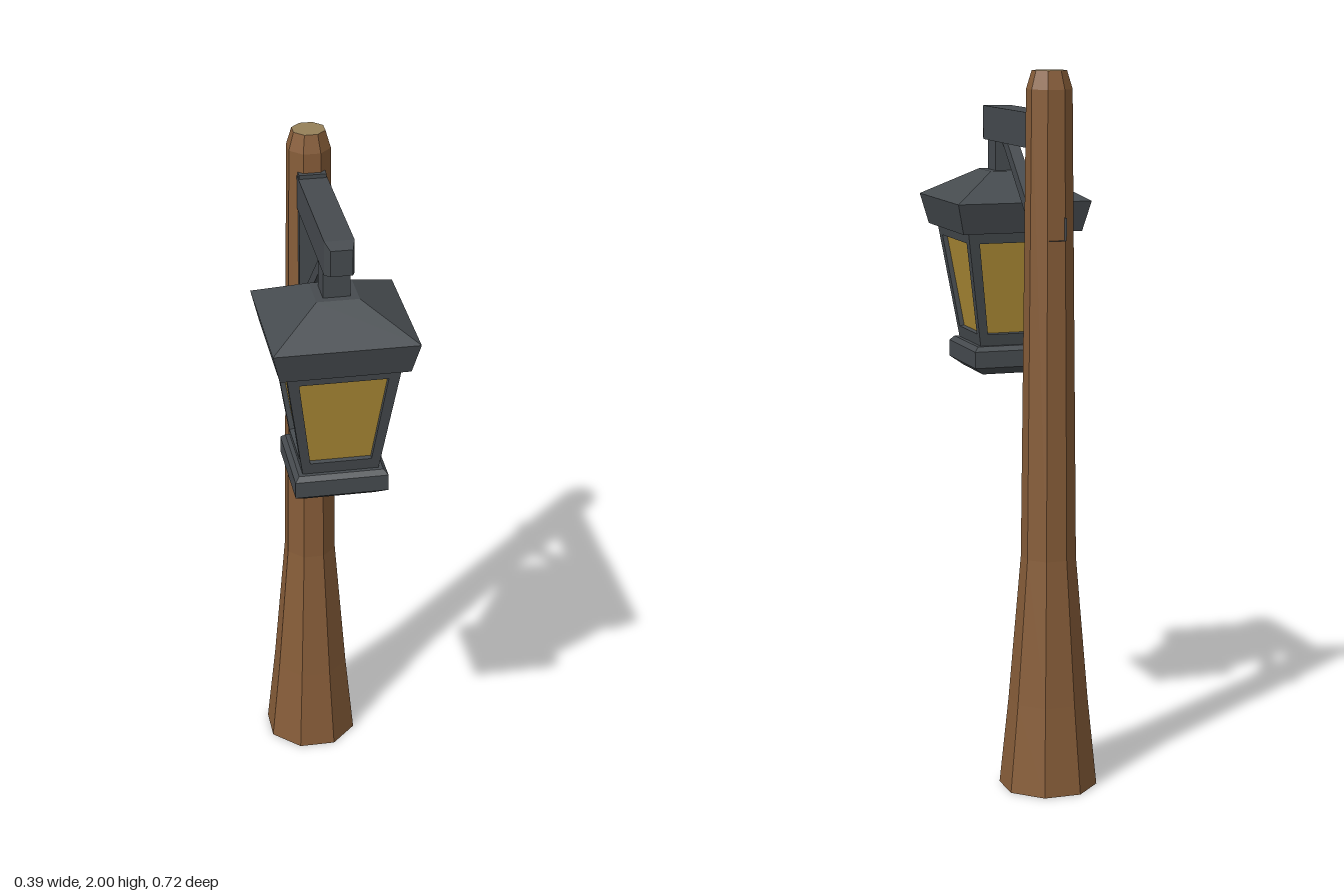
import * as THREE from 'three';

const POST_Z = -0.234, LAMP_Z = 0.163;

export function createModel() {
  const mat = (name, color) => {
    const m = new THREE.MeshStandardMaterial({ color, flatShading: true });
    m.name = name;
    return m;
  };
  const wood = mat('brown wood', 0x875d39);
  const cutWood = mat('cut wood', 0x968059);
  const metal = mat('dark iron', 0x464b4f);
  const glass = mat('amber glass', 0xaf8d36);

  const model = new THREE.Group();
  model.name = 'lampPost';

  const add = (name, geometry, material, parent = model, x = 0, y = 0, z = 0) => {
    const mesh = new THREE.Mesh(geometry, material);
    mesh.name = name;
    mesh.position.set(x, y, z);
    parent.add(mesh);
    return mesh;
  };
  // Regular prism with flats on the axes; profile is [half width, y], bottom to top
  const prism = (profile, sides) => new THREE.LatheGeometry(
    profile.map(([h, y]) => new THREE.Vector2(h / Math.cos(Math.PI / sides), y)),
    sides, Math.PI / sides);
  // Box given by its y and z limits
  const bar = (name, width, y0, y1, z0, z1) => add(name,
    new THREE.BoxGeometry(width, y1 - y0, z1 - z0), metal, model, 0, (y0 + y1) / 2, (z0 + z1) / 2);

  // Wooden post with flared foot and chamfered, paler top
  add('post', prism([[0, 0], [0.127, 0], [0.103, 0.25], [0.071, 0.66],
    [0.058, 1.95], [0.044, 2]], 8), wood, model, 0, 0, POST_Z);
  const top = add('postTop', new THREE.CircleGeometry(0.044 / Math.cos(Math.PI / 8), 8, Math.PI / 8),
    cutWood, model, 0, 2, POST_Z);
  top.rotation.x = -Math.PI / 2;

  // Bracket: arm with tapered tip
  const armGeo = new THREE.BoxGeometry(0.08, 0.096, 0.46, 1, 1, 2);
  const p = armGeo.attributes.position;
  for (let i = 0; i < p.count; i++) {
    if (Math.abs(p.getZ(i)) < 0.01) p.setZ(i, 0.194);
    else if (p.getZ(i) > 0) p.setXY(i, p.getX(i) * 0.74, p.getY(i) * 0.76);
  }
  add('arm', armGeo, metal, model, 0, 1.836, 0.04);
  bar('wallPlate', 0.076, 1.52, 1.895, -0.192, -0.163);
  bar('hanger', 0.074, 1.69, 1.80, 0.127, 0.2);
  bar('backBolt', 0.046, 1.547, 1.609, -0.28, -0.314);

  // Diagonal brace under the arm
  const a = new THREE.Vector3(0, 1.81, 0.13), b = new THREE.Vector3(0, 1.54, -0.17);
  const brace = add('brace', new THREE.BoxGeometry(0.034, 0.032, a.distanceTo(b)), metal);
  brace.position.copy(a).add(b).multiplyScalar(0.5);
  brace.lookAt(a);

  // Lantern
  const lantern = new THREE.Group();
  lantern.name = 'lantern';
  lantern.position.z = LAMP_Z;
  model.add(lantern);
  add('roof', prism([[0, 1.54], [0.175, 1.54], [0.196, 1.626], [0.058, 1.705], [0, 1.705]], 4), metal, lantern);
  add('base', prism([[0, 1.13], [0.096, 1.13], [0.128, 1.153], [0.128, 1.2],
    [0.116, 1.213], [0, 1.213]], 4), metal, lantern);
  add('glassPanes', prism([[0.09, 1.21], [0.142, 1.55]], 4), glass, lantern);

  // Four tapered window frames leaning outward
  const H = 0.335, lower = 0.104, upper = 0.155;
  const lean = Math.atan2(upper - lower, H), slant = Math.hypot(H, upper - lower);
  const at = (y) => (y - 1.21) / H * slant;
  const trapezoid = (Type, w0, y0, w1, y1) => new Type([
    new THREE.Vector2(-w0, y0), new THREE.Vector2(w0, y0),
    new THREE.Vector2(w1, y1), new THREE.Vector2(-w1, y1)]);
  const frameShape = trapezoid(THREE.Shape, lower, 0, upper, slant);
  frameShape.holes.push(trapezoid(THREE.Path, 0.084, at(1.246), 0.12, at(1.51)));
  const frameGeo = new THREE.ExtrudeGeometry(frameShape, { depth: 0.014, bevelEnabled: false });
  frameGeo.translate(0, 0, -0.014);
  frameGeo.rotateX(lean);
  frameGeo.translate(0, 1.21, lower);
  for (let i = 0; i < 4; i++) {
    add('windowFrame', frameGeo, metal, lantern).rotation.y = i * Math.PI / 2;
  }
  return model;
}
